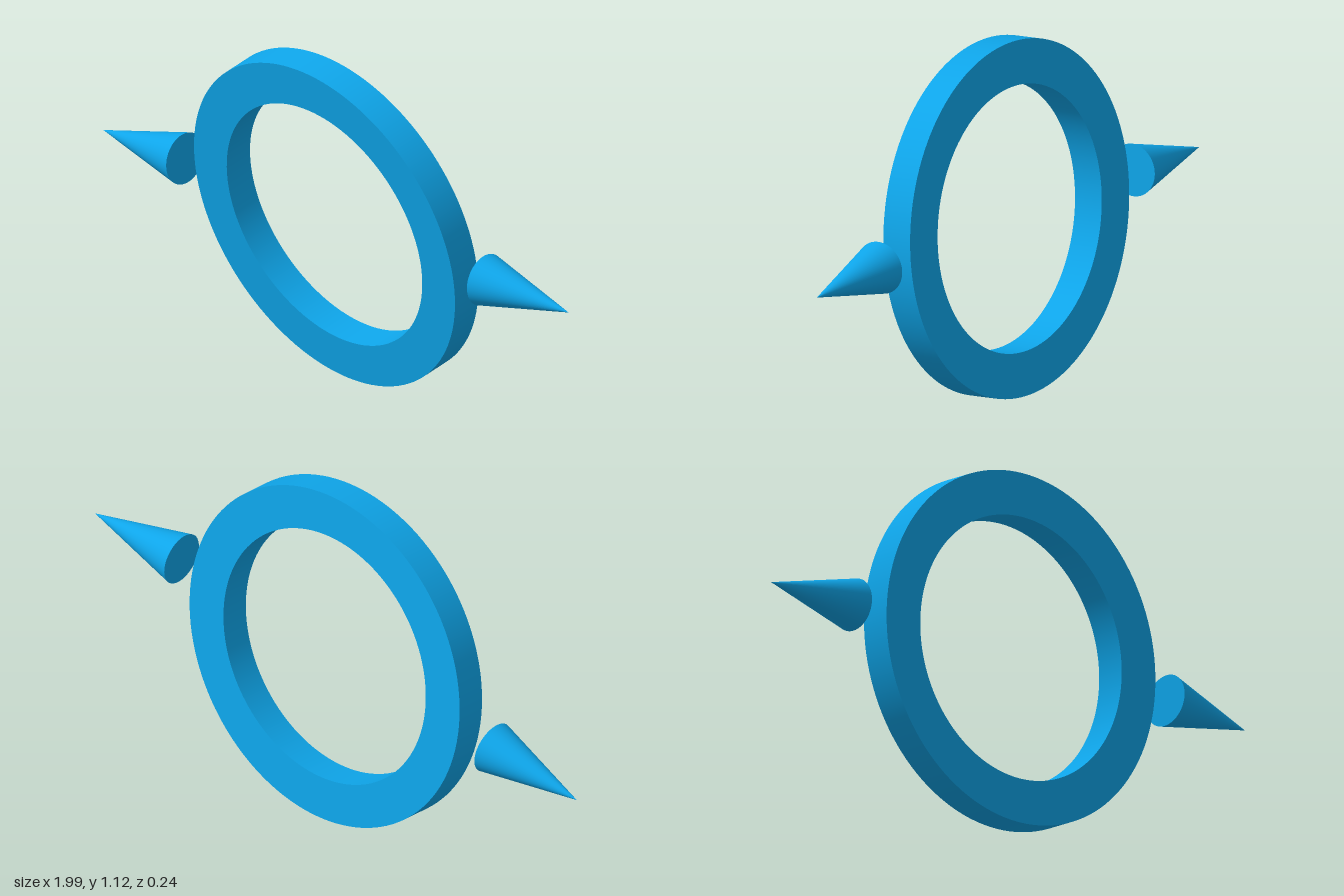
import * as THREE from 'three';

const UP = new THREE.Vector3(0, 1, 0);

export function createModel() {
  const group = new THREE.Group();
  const material = new THREE.MeshStandardMaterial({ color: 0x0ea5e9 });

  // Flat ring with a rectangular section, leaning slightly forward
  const outer = 0.558, inner = 0.418, depth = 0.103;
  const outline = new THREE.Shape().absarc(0, 0, outer, 0, Math.PI * 2, false);
  outline.holes.push(new THREE.Path().absarc(0, 0, inner, 0, Math.PI * 2, true));
  const ringGeometry = new THREE.ExtrudeGeometry(outline, { depth, bevelEnabled: false, curveSegments: 64 });
  ringGeometry.translate(0, 0, -depth / 2);
  // Radial normals make the inner and outer walls smooth; the faces stay flat
  const pos = ringGeometry.attributes.position, nor = ringGeometry.attributes.normal;
  for (let i = 0; i < pos.count; i++) {
    if (Math.abs(nor.getZ(i)) > 0.5) continue;
    const r = Math.hypot(pos.getX(i), pos.getY(i));
    const s = r > (outer + inner) / 2 ? 1 : -1;
    nor.setXYZ(i, s * pos.getX(i) / r, s * pos.getY(i) / r, 0);
  }
  const ring = new THREE.Mesh(ringGeometry, material);
  ring.name = 'ring';
  ring.position.y = 0.56;
  ring.rotation.x = THREE.MathUtils.degToRad(7.05);
  group.add(ring);

  // Cones pointing outward, each from its base centre to its tip
  const addCone = (name, base, tip) => {
    const a = new THREE.Vector3(...base), b = new THREE.Vector3(...tip);
    const axis = b.clone().sub(a);
    const cone = new THREE.Mesh(new THREE.ConeGeometry(0.083, axis.length(), 64), material);
    cone.name = name;
    cone.position.copy(a).lerp(b, 0.5);
    cone.quaternion.setFromUnitVectors(UP, axis.normalize());
    group.add(cone);
  };
  addCone('leftCone', [0.646, 0.594, 0.005], [0.992, 0.607, -0.01]);
  addCone('rightCone', [-0.652, 0.511, -0.001], [-1, 0.477, 0.003]);

  return group;
}
